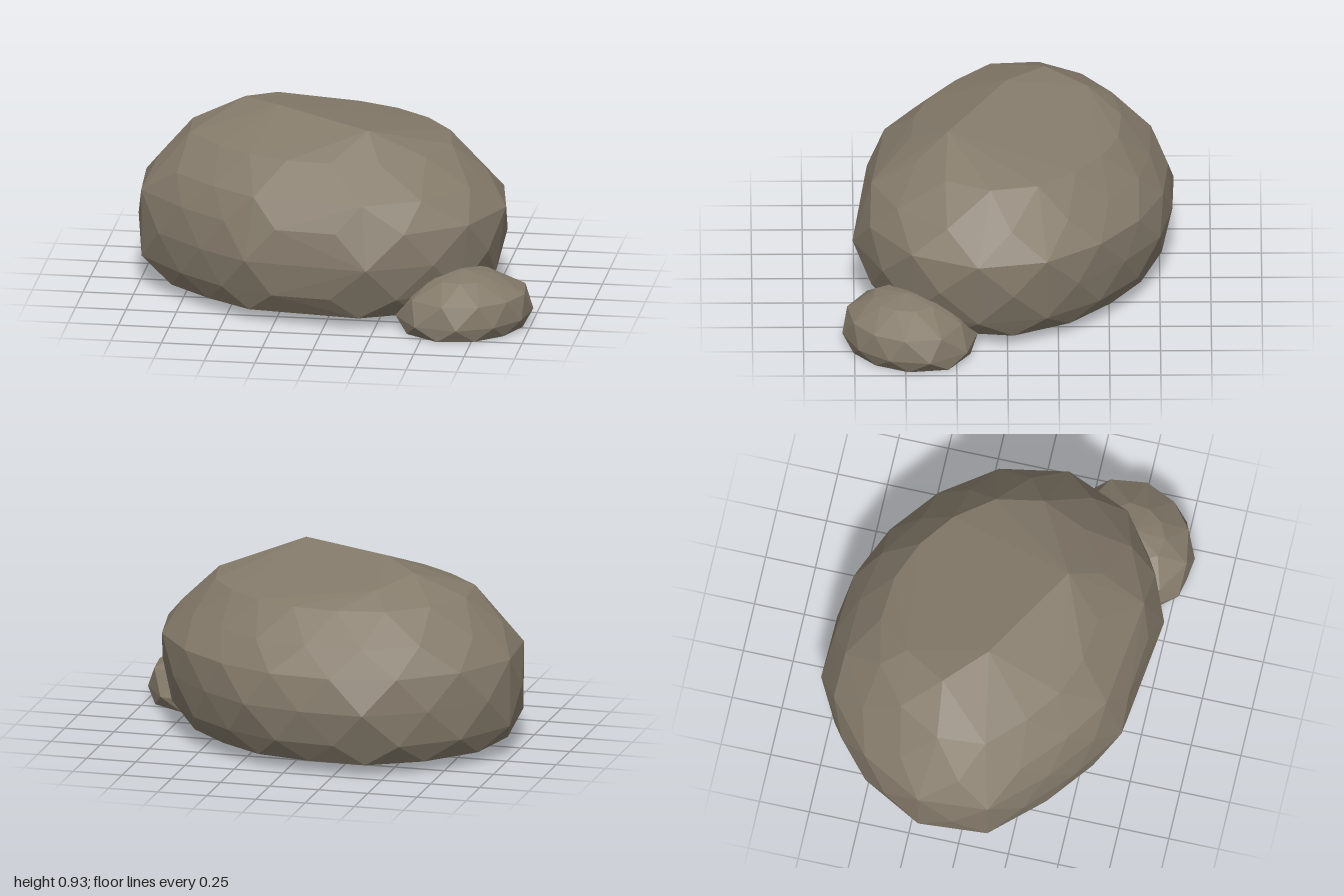
import * as THREE from 'three';
import { ConvexGeometry } from 'three/addons/geometries/ConvexGeometry.js';

const stone = new THREE.MeshStandardMaterial({ color: 0x857b6b, flatShading: true });

// Plan outline as a radius by angle, measured from the rock's centre
function radiusByAngle(points, cx, cz) {
  const polar = points
    .map(([x, z]) => [Math.atan2(z - cz, x - cx), Math.hypot(x - cx, z - cz)])
    .sort((a, b) => a[0] - b[0]);
  const first = polar[0], last = polar[polar.length - 1];
  const ring = [
    [last[0] - 2 * Math.PI, last[1]], ...polar, [first[0] + 2 * Math.PI, first[1]],
  ];
  return (angle) => {
    let i = 1;
    while (i < ring.length - 1 && ring[i][0] < angle) i++;
    const [a0, r0] = ring[i - 1], [a1, r1] = ring[i];
    return r0 + (r1 - r0) * (angle - a0) / (a1 - a0);
  };
}

// Faceted rock: staggered rings of corners scaled from the outline, closed by a few crown corners
function rock(name, { outline, centre: [cx, cz], sides, rings, crown }) {
  const radius = radiusByAngle(outline, cx, cz);
  const corners = crown.map((p) => new THREE.Vector3(...p));
  rings.forEach(([y, scaleX, scaleZ, shiftX, shiftZ], level) => {
    for (let i = 0; i < sides; i++) {
      const angle = -Math.PI + ((i + (level % 2) / 2) / sides) * 2 * Math.PI;
      const r = radius(angle);
      corners.push(new THREE.Vector3(
        cx + shiftX + Math.cos(angle) * r * scaleX,
        y,
        cz + shiftZ + Math.sin(angle) * r * scaleZ,
      ));
    }
  });
  const mesh = new THREE.Mesh(new ConvexGeometry(corners), stone);
  mesh.name = name;
  return mesh;
}

export function createModel() {
  const group = new THREE.Group();
  group.name = 'boulders';

  // Large boulder: steep sides, crown sloping down to its left and back
  group.add(rock('largeBoulder', {
    outline: [
      [-0.42, -0.82], [-0.15, -0.81], [0.17, -0.77], [0.43, -0.6], [0.64, -0.41],
      [0.78, -0.18], [0.83, -0.05], [0.83, 0.17], [0.76, 0.41], [0.5, 0.65],
      [0.23, 0.76], [-0.05, 0.71], [-0.36, 0.69], [-0.5, 0.6], [-0.71, 0.43],
      [-0.92, 0.23], [-1, 0.11], [-1, -0.23], [-0.96, -0.35], [-0.75, -0.61], [-0.65, -0.7],
    ],
    centre: [-0.085, -0.03],
    sides: 16,
    // height, scale x, scale z, shift x, shift z
    rings: [
      [0.06, 0.89, 0.87, -0.03, 0],
      [0.165, 0.97, 0.95, -0.025, 0],
      [0.335, 0.99, 1, -0.01, 0],
      [0.505, 1, 0.96, 0, 0],
      [0.64, 0.88, 0.87, -0.01, 0.01],
      [0.79, 0.72, 0.66, -0.02, -0.01],
    ],
    crown: [
      [0.17, 0.91, 0.29], [-0.32, 0.93, 0], [-0.51, 0.905, -0.19], [-0.38, 0.865, -0.4],
    ],
  }));

  // Small rock resting against the front left of the boulder
  group.add(rock('smallRock', {
    outline: [
      [1, 0.46], [0.97, 0.27], [0.83, 0.17], [0.6, 0.16], [0.43, 0.26],
      [0.36, 0.45], [0.38, 0.69], [0.54, 0.81], [0.74, 0.79], [0.92, 0.66],
    ],
    centre: [0.68, 0.485],
    sides: 10,
    rings: [
      [0, 0.89, 0.92, 0, 0],
      [0.065, 1, 1, 0, 0],
      [0.175, 0.87, 0.85, 0.02, 0.02],
      [0.262, 0.45, 0.48, 0, 0.02],
    ],
    crown: [[0.68, 0.29, 0.5]],
  }));

  return group;
}
